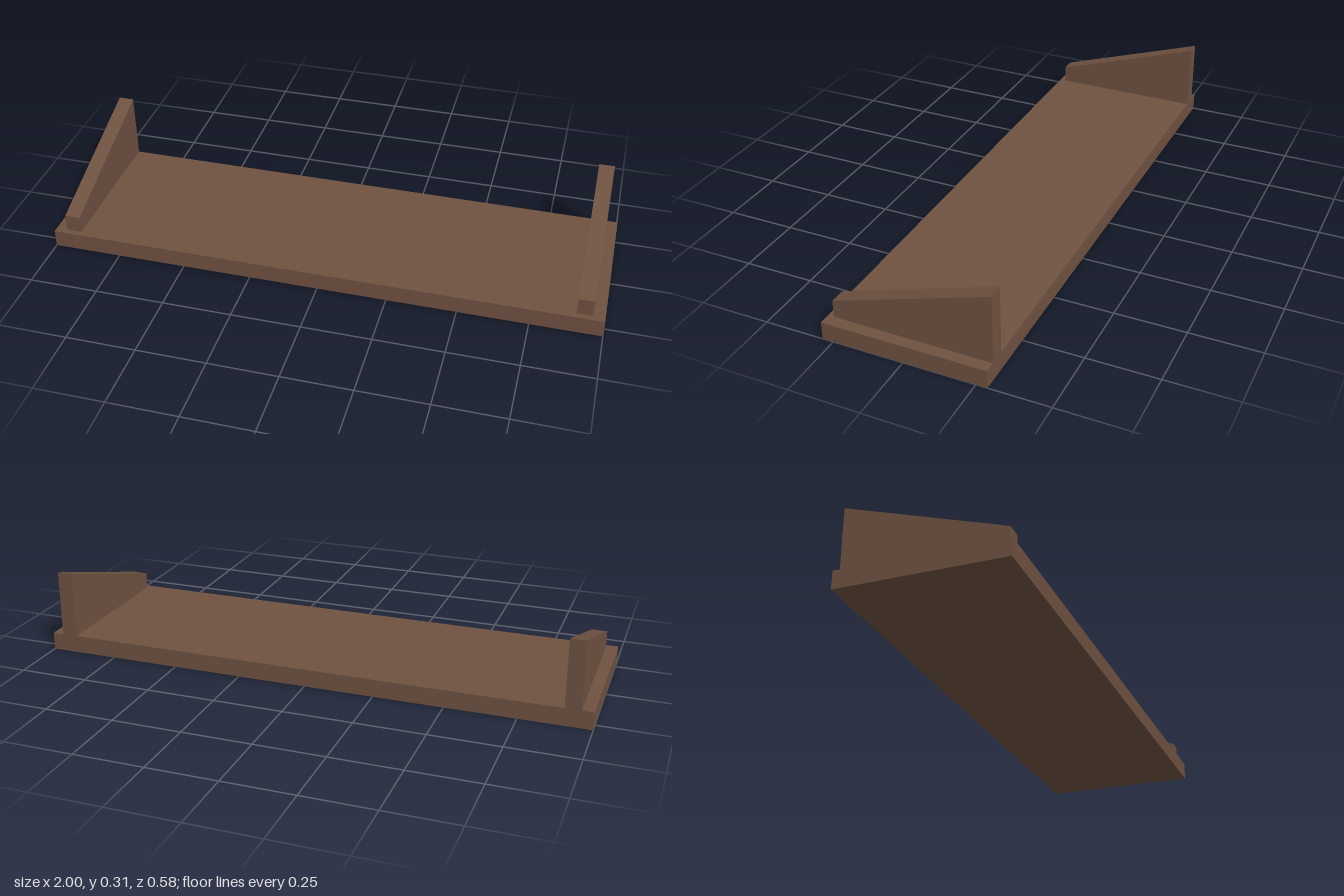
import * as THREE from 'three';

export function createModel() {
  const group = new THREE.Group();
  const wood = new THREE.MeshStandardMaterial({ color: 0x6f5241, flatShading: true });
  wood.name = 'brown wood';

  const thickness = 0.064, halfDepth = 0.289;

  // Flat shelf board
  const board = new THREE.Mesh(new THREE.BoxGeometry(2, thickness, halfDepth * 2), wood);
  board.name = 'shelfBoard';
  board.position.y = thickness / 2;
  group.add(board);

  // Sloped bracket profile in (z, y), extruded across x
  const profile = new THREE.Shape([
    [-halfDepth, thickness], [0.267, thickness], [0.267, 0.126], [-halfDepth, 0.308],
  ].map(([z, y]) => new THREE.Vector2(z, y)));
  const width = 0.056;
  const bracketGeometry = new THREE.ExtrudeGeometry(profile, { depth: width, bevelEnabled: false });
  bracketGeometry.translate(0, 0, -width / 2);
  bracketGeometry.rotateY(-Math.PI / 2);

  // One bracket near each end
  for (const [name, side] of [['leftBracket', 1], ['rightBracket', -1]]) {
    const bracket = new THREE.Mesh(bracketGeometry, wood);
    bracket.name = name;
    bracket.position.x = side * 0.931;
    group.add(bracket);
  }
  return group;
}
